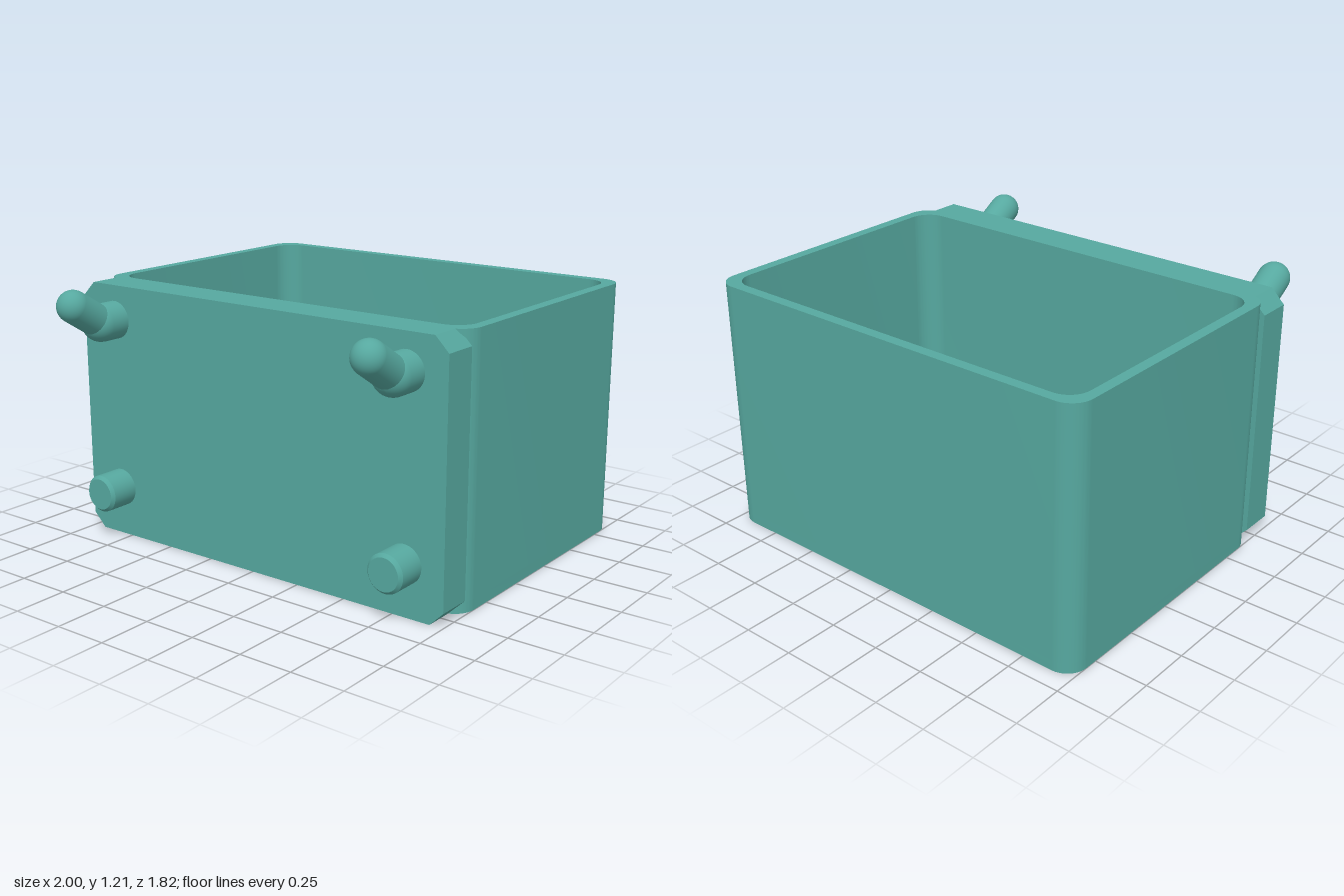
import * as THREE from 'three';
import { toCreasedNormals } from 'three/addons/utils/BufferGeometryUtils.js';

const material = new THREE.MeshStandardMaterial({ color: 0x56a89f });

function add(parent, name, geometry) {
  const mesh = new THREE.Mesh(geometry, material);
  mesh.name = name;
  parent.add(mesh);
  return mesh;
}

// Rounded rectangle drawn in x and -z, so that extruding runs upwards
function roundedRect(Type, hw, zMin, zMax, r) {
  const s = new Type();
  const a = -zMax, b = -zMin;
  s.absarc(hw - r, a + r, r, -Math.PI / 2, 0);
  s.absarc(hw - r, b - r, r, 0, Math.PI / 2);
  s.absarc(-hw + r, b - r, r, Math.PI / 2, Math.PI);
  s.absarc(-hw + r, a + r, r, Math.PI, Math.PI * 1.5);
  s.closePath();
  return s;
}

function extrudeUp(shape, y, height) {
  const g = new THREE.ExtrudeGeometry(shape, { depth: height, bevelEnabled: false, curveSegments: 12 });
  g.rotateX(-Math.PI / 2);
  g.translate(0, y, 0);
  return toCreasedNormals(g, 0.6);
}

// Solid of revolution pointing along +z
function turned(points) {
  const g = new THREE.LatheGeometry(points.map(([r, h]) => new THREE.Vector2(r, h)), 40);
  g.rotateX(Math.PI / 2);
  return toCreasedNormals(g, 0.6);
}

export function createModel() {
  const model = new THREE.Group();
  model.name = 'hangingBin';

  const H = 1.2, FLOOR = 0.05;

  // Open bin: floor and thin walls
  const outer = () => roundedRect(THREE.Shape, 1, -0.91, 0.45, 0.1);
  add(model, 'floor', extrudeUp(outer(), 0, FLOOR));
  const wall = outer();
  wall.holes.push(roundedRect(THREE.Path, 0.95, -0.86, 0.4, 0.1));
  add(model, 'walls', extrudeUp(wall, FLOOR, H - FLOOR));

  // Mounting plate with cut corners
  const c = 0.065;
  const plate = new THREE.Shape([
    [-1 + c, 0], [1 - c, 0], [1, c], [1, H - c],
    [1 - c, H], [-1 + c, H], [-1, H - c], [-1, c],
  ].map(([x, y]) => new THREE.Vector2(x, y)));
  const plateGeometry = new THREE.ExtrudeGeometry(plate, { depth: 0.165, bevelEnabled: false });
  plateGeometry.translate(0, 0, 0.42);
  add(model, 'mountingPlate', plateGeometry);

  // Pegs below, bent hooks above, on both sides
  for (const side of [-1, 1]) {
    const label = side > 0 ? 'left' : 'right';
    const x = side * 0.805;

    const peg = add(model, label + 'Peg', turned([[0.087, 0], [0.087, 0.155], [0.073, 0.17], [0, 0.17]]));
    peg.position.set(x, 0.233, 0.56);

    const hook = new THREE.Group();
    hook.name = label + 'Hook';
    hook.position.set(x, 1.04, 0.56);
    model.add(hook);
    // Straight shank ending in a rounded elbow
    const shank = [[0.087, 0]];
    for (let i = 0; i <= 10; i++) {
      const t = (i / 10) * Math.PI / 2;
      shank.push([0.087 * Math.cos(t), 0.115 + 0.087 * Math.sin(t)]);
    }
    add(hook, 'hookShank', turned(shank));
    // Upward arm with a round tip
    const arm = add(hook, 'hookArm', new THREE.CapsuleGeometry(0.075, 0.187, 12, 32));
    arm.position.set(0, 0.05, 0.195);
    arm.rotation.x = Math.atan2(0.16, 0.1);
  }

  return model;
}
